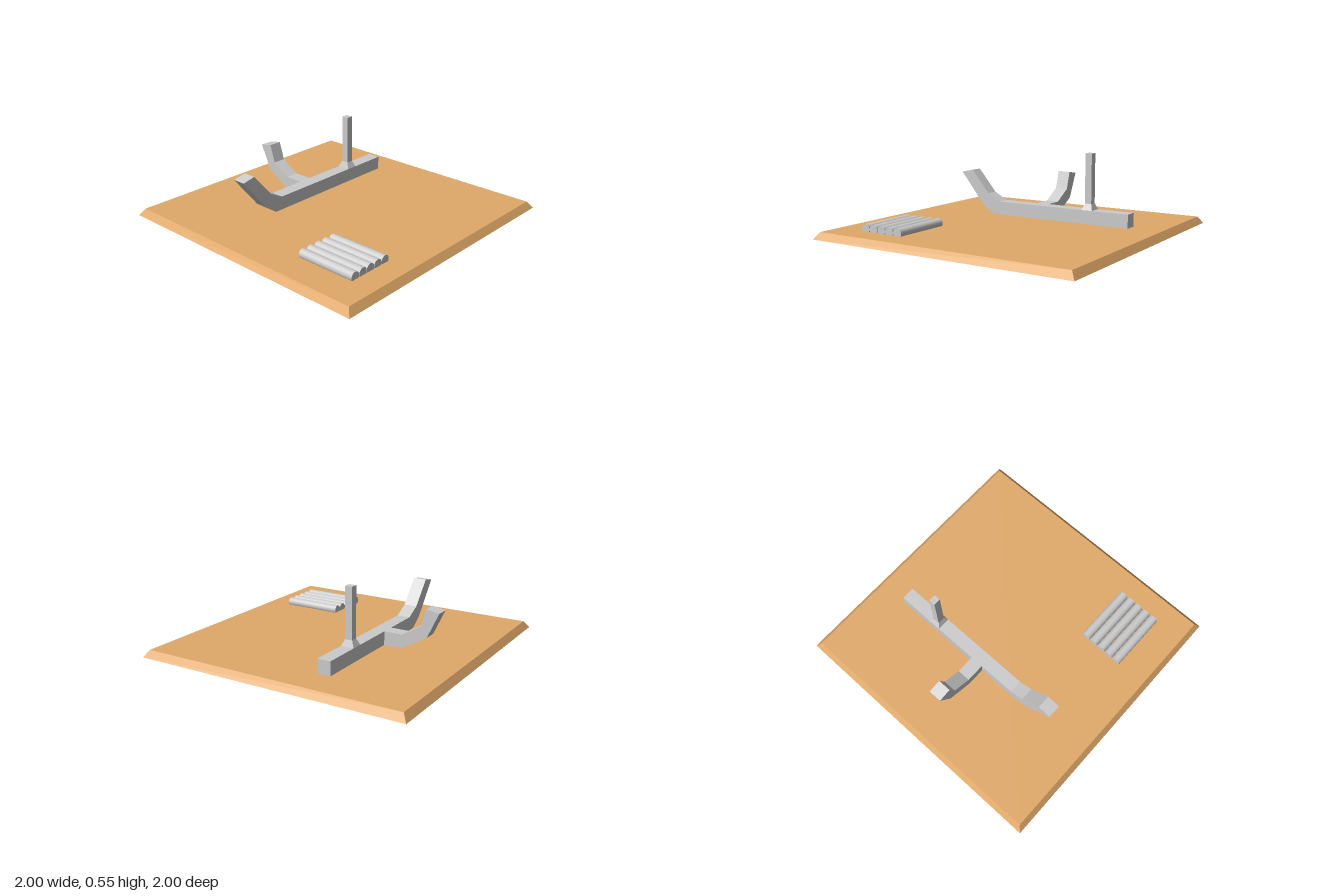
import * as THREE from 'three';

const grey = () => new THREE.MeshStandardMaterial({ color: 0xcccccc, flatShading: true });

function add(group, name, geometry, material, x = 0, y = 0, z = 0) {
  const mesh = new THREE.Mesh(geometry, material);
  mesh.name = name;
  mesh.position.set(x, y, z);
  group.add(mesh);
  return mesh;
}

// Rectangular block standing on y = 0 whose top is narrowed to topW x topD
function taperedBlock(w, d, h, topW, topD) {
  const geo = new THREE.BoxGeometry(w, h, d).translate(0, h / 2, 0);
  const p = geo.attributes.position;
  for (let i = 0; i < p.count; i++) {
    if (p.getY(i) > h / 2) {
      p.setX(i, Math.sign(p.getX(i)) * topW / 2);
      p.setZ(i, Math.sign(p.getZ(i)) * topD / 2);
    }
  }
  geo.computeVertexNormals();
  return geo;
}

// Side outline extruded symmetrically to the given thickness
function profile(points, thickness) {
  const shape = new THREE.Shape(points.map(([x, y]) => new THREE.Vector2(x, y)));
  return new THREE.ExtrudeGeometry(shape, { depth: thickness, bevelEnabled: false })
    .translate(0, 0, -thickness / 2);
}

export function createModel() {
  const model = new THREE.Group();
  const beamX = -0.287;

  // Board with sloping rim
  const wood = new THREE.MeshStandardMaterial({ color: 0xe0a868, flatShading: true });
  add(model, 'board', taperedBlock(2, 2, 0.05, 1.93, 1.93), wood);

  // Long beam, bending upward at its front end
  const beam = profile([
    [-0.735, 0.052], [0.38, 0.052], [0.47, 0.115], [0.665, 0.355],
    [0.57, 0.375], [0.425, 0.205], [0.32, 0.15], [-0.735, 0.15],
  ], 0.096).rotateY(-Math.PI / 2);
  add(model, 'beam', beam, grey(), beamX);

  // Side arm, bending upward away from the beam
  const arm = profile([
    [-0.30, 0.052], [-0.47, 0.052], [-0.655, 0.16], [-0.74, 0.34],
    [-0.645, 0.358], [-0.605, 0.23], [-0.47, 0.15], [-0.30, 0.15],
  ], 0.096);
  add(model, 'sideArm', arm, grey(), 0, 0, -0.005);

  // Post with flared foot
  const post = new THREE.Group();
  post.name = 'post';
  post.position.set(beamX, 0.15, -0.417);
  add(post, 'postFoot', taperedBlock(0.096, 0.084, 0.045, 0.053, 0.05), grey());
  add(post, 'postShaft', new THREE.BoxGeometry(0.053, 0.36, 0.05), grey(), 0, 0.222, 0);
  model.add(post);

  // Row of round rods lying side by side
  const rods = new THREE.Group();
  rods.name = 'rods';
  const rodGeo = new THREE.CylinderGeometry(0.034, 0.034, 0.44, 32).rotateZ(Math.PI / 2);
  const rodMaterial = new THREE.MeshStandardMaterial({ color: 0xcccccc });
  for (let i = 0; i < 5; i++) {
    add(rods, 'rod', rodGeo, rodMaterial, 0.572, 0.068, 0.436 + i * 0.0695);
  }
  model.add(rods);

  return model;
}
